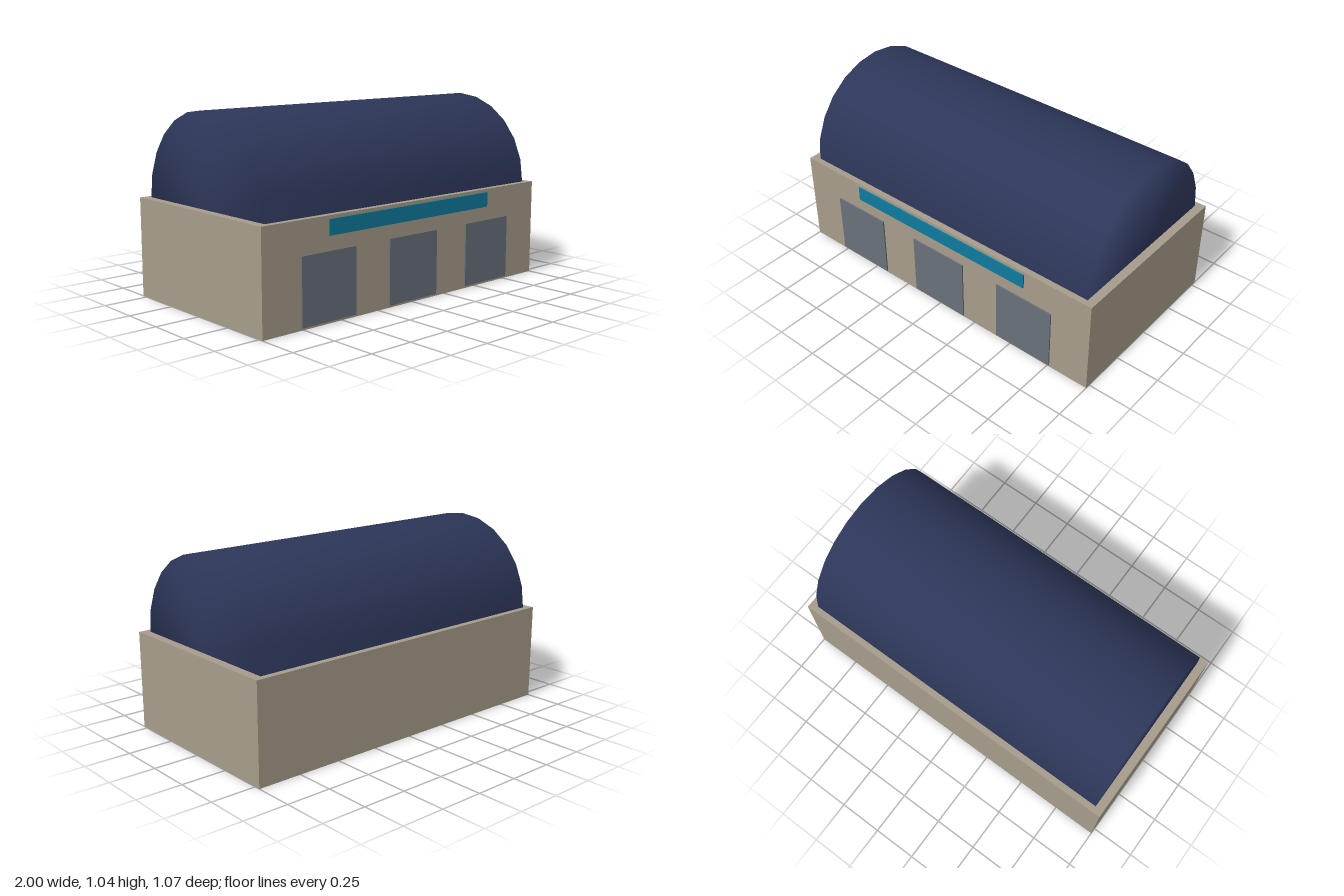
import * as THREE from 'three';
import { mergeVertices } from 'three/addons/utils/BufferGeometryUtils.js';

const WALL_H = 0.543, CENTRE_Z = -0.003, FRONT_Z = 0.527;

function addPart(group, name, geometry, color, x, y, z) {
  const mesh = new THREE.Mesh(geometry, new THREE.MeshStandardMaterial({ color }));
  mesh.name = name;
  mesh.position.set(x, y, z);
  group.add(mesh);
  return mesh;
}

export function createModel() {
  const group = new THREE.Group();
  group.name = 'hangar';

  // Rectangular base building
  addPart(group, 'walls', new THREE.BoxGeometry(2, WALL_H, 1.06), 0xa69c8b, 0, WALL_H / 2, CENTRE_Z);

  // Half-barrel roof: 12 facets, softly shaded right across the end rims
  let roof = new THREE.CylinderGeometry(0.495, 0.495, 1.904, 12, 1, false, 0, Math.PI);
  roof.rotateZ(Math.PI / 2);
  roof.deleteAttribute('normal');
  roof.deleteAttribute('uv');
  roof = mergeVertices(roof);
  roof.computeVertexNormals();
  const barrel = addPart(group, 'barrelRoof', roof, 0x2d3659, 0, WALL_H, CENTRE_Z);
  barrel.material.side = THREE.DoubleSide;

  // Three doors standing slightly proud of the front wall
  const door = new THREE.BoxGeometry(0.353, 0.355, 0.016);
  [-0.588, 0, 0.588].forEach((x, i) => addPart(group, 'door' + (i + 1), door, 0x69717a, x, 0.19, FRONT_Z));

  // Long blank panel above the doors
  addPart(group, 'signPanel', new THREE.BoxGeometry(1.176, 0.082, 0.016), 0x0e7a9e, 0, 0.484, FRONT_Z);

  return group;
}
